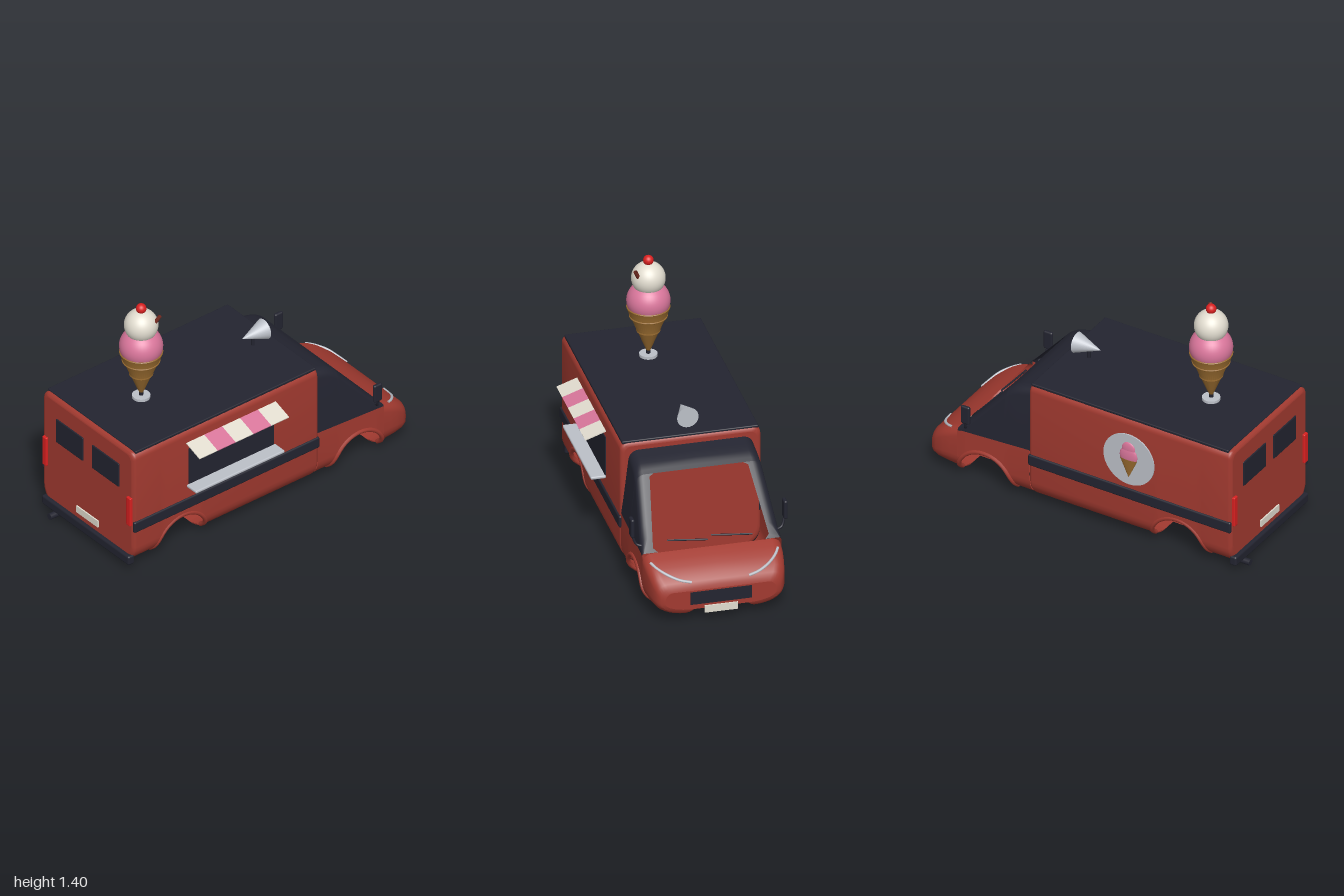
import * as THREE from 'three';
import { toCreasedNormals } from 'three/addons/utils/BufferGeometryUtils.js';
import { RoundedBoxGeometry } from 'three/addons/geometries/RoundedBoxGeometry.js';

const mat = (name, color) => new THREE.MeshStandardMaterial({ name, color, side: THREE.DoubleSide });
const RED = mat('body red', 0xa23a30), DARK = mat('dark trim', 0x232430), PINK = mat('pink', 0xd9769b);
const CREAM = mat('cream', 0xe2ddd0), WAFFLE = mat('waffle', 0x9a6c30), GREY = mat('light grey', 0xbcc0c8);
const CHERRY = mat('bright red', 0xd82020), STICK = mat('wafer brown', 0x7c2e24);

const ARCH_R = 0.165, ARCH_Y = 0.055, ARCHES = [0.605, -0.62];
const lerp = THREE.MathUtils.lerp;

// Lower limit of the side wall at z: the wheel arch height, or nothing
function archHeight(z) {
  for (const c of ARCHES) {
    const d = Math.abs(z - c);
    if (d <= ARCH_R + 1e-6) return ARCH_Y + Math.sqrt(Math.max(0, ARCH_R ** 2 - d * d));
  }
  return 0;
}
function archZs(c) {
  const zs = [c + ARCH_R + 0.001];
  for (let i = 0; i <= 20; i++) zs.push(c + ARCH_R * Math.cos((i / 20) * Math.PI));
  return [...zs, c - ARCH_R - 0.001];
}

// Half cross-section: curved sill, upright side, rounded shoulder, middle of the roof
function halfSection({ hw, b, t, r, open }, low = 0) {
  const rx = 0.16, ry = Math.min(0.13, (t - b) * 0.45), pts = [];
  const wall = y => hw - (y < b + ry ? rx * (1 - Math.sqrt(Math.max(0, 1 - ((b + ry - y) / ry) ** 2))) : 0);
  for (let i = 0; i <= 8; i++) {
    const y = Math.max(low, b + ry * (1 - Math.cos((i / 8) * Math.PI / 2)));
    pts.push([wall(y), y]);
  }
  if (open) return [...pts, [hw, t]];
  for (let i = 0; i <= 6; i++) {
    const a = (i / 6) * Math.PI / 2;
    pts.push([hw - r + r * Math.cos(a), t - r + r * Math.sin(a)]);
  }
  return [...pts, [0, t]];
}

// Joins half sections along z (running backwards) and mirrors them
function loft(zs, section) {
  const pos = [], idx = [];
  for (const s of [1, -1]) {
    const base = pos.length / 3;
    let n = 0;
    zs.forEach((z, j) => {
      const pts = section(z, j);
      n = pts.length;
      for (const [x, y] of pts) pos.push(s * x, y, z);
    });
    for (let j = 0; j < zs.length - 1; j++) for (let i = 0; i < n - 1; i++) {
      const a = base + j * n + i, b = a + 1, c = a + n, d = c + 1;
      if (s > 0) idx.push(a, c, b, b, c, d);
      else idx.push(a, b, c, b, d, c);
    }
  }
  const g = new THREE.BufferGeometry();
  g.setAttribute('position', new THREE.Float32BufferAttribute(pos, 3));
  g.setIndex(idx);
  return toCreasedNormals(g, 0.6);
}
function cap(section) {
  const pts = [...section, ...section.map(([x, y]) => [-x, y]).reverse()];
  return new THREE.ShapeGeometry(new THREE.Shape(pts.map(p => new THREE.Vector2(...p))));
}

export function createModel() {
  const van = new THREE.Group();
  van.name = 'iceCreamVan';
  van.position.x = -0.037;
  const add = (name, geo, m, x = 0, y = 0, z = 0) => {
    const o = new THREE.Mesh(geo, m);
    o.name = name;
    o.position.set(x, y, z);
    van.add(o);
    return o;
  };
  const box = (name, m, w, h, d, x, y, z) => add(name, new THREE.BoxGeometry(w, h, d), m, x, y, z);
  const rbox = (name, m, w, h, d, x, y, z, r = 0.01) => add(name, new RoundedBoxGeometry(w, h, d, 3, r), m, x, y, z);
  const tube = (name, m, pts, r) => add(name,
    new THREE.TubeGeometry(new THREE.CatmullRomCurve3(pts.map(p => new THREE.Vector3(...p))), 24, r, 8), m);

  // Cargo box with softened ends
  const inset = z => Math.max(0, 0.022 - Math.sqrt(Math.max(0, 0.022 ** 2 - Math.max(0, z - 0.928, -0.313 - z) ** 2)));
  const boxSec = z => {
    const e = inset(z);
    return { hw: 0.393 - e, b: 0.025 + e, t: 0.775 - e, r: 0.04 };
  };
  const boxZs = [0.95, 0.948, 0.943, 0.936, 0.928, ...archZs(ARCHES[0]), -0.313, -0.321, -0.328, -0.333, -0.335];
  add('cargoBox', loft(boxZs, z => halfSection(boxSec(z), archHeight(z))), RED);
  add('rearPanel', cap(halfSection(boxSec(0.95))), RED, 0, 0, 0.95);
  add('bulkhead', cap(halfSection(boxSec(-0.335))), RED, 0, 0, -0.335).scale.z = -1;

  // Lower cab, open above the belt line
  const belt = z => lerp(0.35, 0.325, (z + 0.335) / -0.455);
  add('cabSides', loft([-0.33, ...archZs(ARCHES[1]), -0.79],
    z => halfSection({ hw: 0.388, b: 0.025, t: belt(z), open: true }, archHeight(z))), RED);

  // Bonnet and nose: z, half width, bottom, top
  const nose = [[-0.787, 0.388, 0.025, 0.335], [-0.84, 0.385, 0.028, 0.315], [-0.89, 0.378, 0.031, 0.291],
    [-0.94, 0.366, 0.037, 0.26], [-0.97, 0.35, 0.046, 0.232], [-0.985, 0.333, 0.058, 0.21], [-0.991, 0.31, 0.075, 0.188]];
  const noseSecs = nose.map(([, hw, b, t]) => halfSection({ hw, b, t, r: Math.min(0.055, (t - b) * 0.4) }));
  add('bonnet', loft(nose.map(n => n[0]), (z, j) => noseSecs[j]), RED);
  add('noseFace', cap(noseSecs[noseSecs.length - 1]), RED, 0, 0, -0.991).scale.z = -1;

  // Floor, narrowed between the wheels
  const floorZs = [0.93, ...archZs(ARCHES[0]), ...archZs(ARCHES[1]), -0.8, -0.88];
  add('floor', loft(floorZs, z => [[0, 0.027], [archHeight(z) ? 0.16 : 0.235, 0.027]]), RED);

  // Cab top: dark roof and side glass, with an open windscreen between the pillars
  const roofLine = [[-0.33, 0.73], [-0.42, 0.708], [-0.46, 0.693], [-0.5, 0.665], [-0.787, 0.337]];
  const topAt = z => {
    const i = Math.max(1, roofLine.findIndex(p => p[0] <= z + 1e-6)), [z0, y0] = roofLine[i - 1], [z1, y1] = roofLine[i];
    return lerp(y0, y1, (z - z0) / (z1 - z0));
  };
  const cabTop = (z, inner) => {
    const t = topAt(z), lo = belt(z) - 0.004, r = Math.min(0.05, (t - lo) * 0.7);
    const lean = y => 0.388 - 0.045 * Math.max(0, (y - 0.34) / 0.38);
    const pts = [[lean(lo), lo]];
    for (let i = 0; i <= 6; i++) {
      const a = (i / 6) * Math.PI / 2, y = t - r + r * Math.sin(a);
      pts.push([lean(y) - r * (1 - Math.cos(a)), y]);
    }
    return [...pts, [inner, t]];
  };
  add('cabRoof', loft([-0.33, -0.36, -0.39, -0.42, -0.44, -0.46, -0.48, -0.5], z => cabTop(z, 0)), DARK);
  const opening = z => (z > -0.501 ? 0.25 : z < -0.78 ? 0.3 : lerp(0.275, 0.325, (z + 0.51) / -0.27));
  add('pillars', loft([-0.5, -0.51, -0.56, -0.62, -0.68, -0.73, -0.77, -0.787], z => cabTop(z, opening(z))), DARK);

  // Paired parts
  for (const s of [1, -1]) {
    rbox('sideStripe', DARK, 0.022, 0.07, 1.285, s * 0.391, 0.295, 0.307);
    rbox('tailLight', CHERRY, 0.036, 0.185, 0.03, s * 0.362, 0.392, 0.95, 0.006);
    rbox('rearWindow', DARK, 0.23, 0.152, 0.01, s * 0.155, 0.577, 0.952, 0.004);
    rbox('mirror', DARK, 0.022, 0.112, 0.056, s * 0.427, 0.47, -0.713);
    tube('mirrorArm', DARK, [[s * 0.37, 0.36, -0.74], [s * 0.405, 0.37, -0.728], [s * 0.427, 0.43, -0.715]], 0.007);
    tube('headlight', GREY, [[s * 0.355, 0.306, -0.84], [s * 0.33, 0.29, -0.883], [s * 0.28, 0.267, -0.931],
      [s * 0.22, 0.243, -0.958], [s * 0.16, 0.23, -0.971]], 0.008);
    tube('wiper', DARK, [[s < 0 ? -0.235 : 0.015, 0.362, -0.757], [s < 0 ? -0.12 : 0.125, 0.368, -0.746],
      [s < 0 ? -0.01 : 0.235, 0.375, -0.736]], 0.005);
    // Flared lips following the curved sill round each arch
    for (const c of ARCHES) {
      const pts = [];
      for (let i = 0; i <= 16; i++) {
        const a = (i / 16) * Math.PI, y = 0.05 + 0.177 * Math.sin(a);
        const q = Math.max(0, (0.155 - y) / 0.13);
        pts.push([s * (0.386 - 0.16 * (1 - Math.sqrt(1 - q * q))), y, c + 0.177 * Math.cos(a)]);
      }
      tube('archLip', RED, pts, 0.013);
    }
  }

  // Roof, bumper, exhaust, plates and grille
  rbox('roofPanel', DARK, 0.762, 0.018, 1.25, 0, 0.774, 0.3, 0.006);
  rbox('rearBumper', DARK, 0.752, 0.058, 0.045, 0, 0.07, 0.949, 0.012);
  add('exhaust', new THREE.CylinderGeometry(0.018, 0.018, 0.12, 16), DARK, -0.272, 0.022, 0.94).rotation.x = Math.PI / 2;
  box('rearPlate', CREAM, 0.186, 0.042, 0.008, 0, 0.156, 0.954);
  box('frontPlate', CREAM, 0.186, 0.042, 0.008, 0, 0.07, -0.996);
  box('grille', DARK, 0.34, 0.075, 0.008, 0, 0.142, -0.991);

  // Serving hatch with counter and striped awning
  box('servingWindow', DARK, 0.009, 0.235, 0.59, 0.394, 0.535, 0.275);
  rbox('counter', GREY, 0.085, 0.018, 0.615, 0.436, 0.412, 0.277, 0.007);
  for (let i = 0; i < 5; i++) {
    const o = box('awningStripe', i % 2 ? PINK : CREAM, 0.123, 0.006, 0.124, 0.453, 0.676, 0.029 + i * 0.124);
    o.rotation.z = -0.335;
  }

  // Round side sign with a flattened ice cream
  const sign = new THREE.Group();
  sign.name = 'sideSign';
  sign.position.set(-0.396, 0.52, 0.305);
  const signPart = (name, geo, m, x, y, sx) => {
    const o = new THREE.Mesh(geo, m);
    o.name = name;
    o.position.set(x, y, 0);
    o.scale.x = sx;
    sign.add(o);
    return o;
  };
  signPart('signDisc', new THREE.CylinderGeometry(0.16, 0.16, 0.009, 48), GREY, 0, 0, 1).rotation.z = Math.PI / 2;
  signPart('signCone', new THREE.ConeGeometry(0.055, 0.12, 24).rotateX(Math.PI), WAFFLE, -0.005, -0.055, 0.25);
  signPart('signScoop', new THREE.SphereGeometry(0.056, 24, 16), PINK, -0.005, 0.025, 0.25);
  signPart('signTopScoop', new THREE.SphereGeometry(0.042, 24, 16), PINK, -0.005, 0.07, 0.25);
  van.add(sign);

  // Roof horn
  add('hornPost', new THREE.CylinderGeometry(0.01, 0.01, 0.07, 12), DARK, 0, 0.81, -0.193);
  add('horn', new THREE.ConeGeometry(0.06, 0.155, 32), GREY, 0, 0.853, -0.194).rotation.x = Math.PI / 2;

  // Giant ice cream
  const Z = 0.582;
  add('coneBase', new THREE.CylinderGeometry(0.05, 0.05, 0.016, 32), GREY, 0, 0.791, Z);
  add('conePost', new THREE.CylinderGeometry(0.012, 0.012, 0.04, 12), DARK, 0, 0.81, Z);
  const profile = [[0.004, 0.8], [0.06, 0.938], [0.066, 0.94], [0.065, 0.948], [0.095, 1.025], [0.102, 1.028],
    [0.102, 1.036], [0.12, 1.088], [0.117, 1.092], [0, 1.092]].map(p => new THREE.Vector2(...p));
  add('cone', toCreasedNormals(new THREE.LatheGeometry(profile, 40), 0.5), WAFFLE, 0, 0, Z);
  add('coneRim', new THREE.TorusGeometry(0.101, 0.005, 8, 40).rotateX(Math.PI / 2), WAFFLE, 0, 1.032, Z);
  add('pinkScoop', new THREE.SphereGeometry(0.12, 40, 24), PINK, 0, 1.125, Z).scale.y = 0.95;
  add('creamScoop', new THREE.SphereGeometry(0.094, 40, 24), CREAM, 0, 1.262, Z);
  add('cherry', new THREE.SphereGeometry(0.029, 24, 16), CHERRY, 0, 1.37, Z);
  tube('waferStick', STICK, [[0.055, 1.27, 0.55], [0.072, 1.305, 0.535], [0.087, 1.34, 0.522]], 0.011);

  const root = new THREE.Group();
  root.name = 'model';
  root.add(van);
  return root;
}
